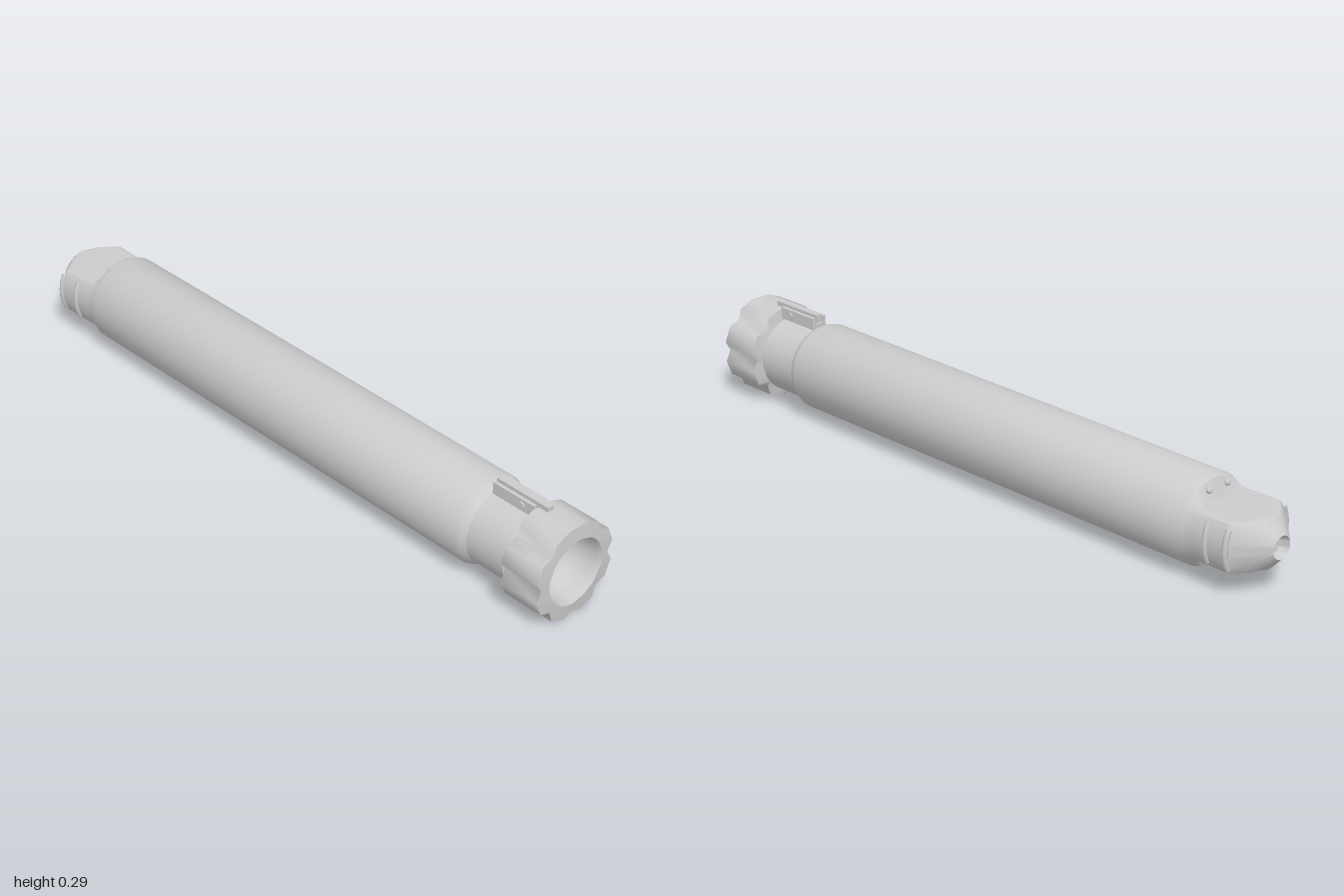
import * as THREE from 'three';
import { toCreasedNormals } from 'three/addons/utils/BufferGeometryUtils.js';

const AXIS_Y = 0.137;
const mat = new THREE.MeshStandardMaterial({ color: 0xcccccc });

function add(parent, name, geo, x = 0, y = 0, z = 0) {
  const m = new THREE.Mesh(geo, mat);
  m.name = name;
  m.position.set(x, y, z);
  parent.add(m);
  return m;
}

// Turned part along z from [radius, z] pairs
function turned(profile, segments) {
  const g = new THREE.LatheGeometry(profile.map(([r, z]) => new THREE.Vector2(r, z)), segments);
  return g.rotateX(Math.PI / 2);
}

// Barrel with a conical tail that is flattened above and below
function barrelGeometry() {
  const g = turned([
    [0, -0.97], [0.024, -0.975], [0.032, -1], [0.07, -0.964], [0.086, -0.948],
    [0.102, -0.931], [0.12, -0.912], [0.118, -0.8], [0.12, -0.777], [0.127, -0.76],
    [0.127, 0.7], [0.122, 0.715], [0.112, 0.73], [0.112, 0.855], [0.105, 0.86], [0.105, 0.89],
  ], 64);
  const p = g.attributes.position;
  for (let i = 0; i < p.count; i++) {
    if (p.getZ(i) < -0.79) p.setY(i, THREE.MathUtils.clamp(p.getY(i), -0.07, 0.07));
  }
  return toCreasedNormals(g, 0.5);
}

// Scalloped grip ring: eight notches, the top one filled under the clip
function headGeometry() {
  const outline = [];
  for (let k = 0; k < 8; k++) {
    const a = k * Math.PI / 4, half = 0.217;
    outline.push([a - half, 0.1403], [a, k === 2 ? 0.137 : 0.121], [a + half, 0.1403]);
  }
  const rings = [[0.104, 0.866], [null, 0.873], [null, 0.996], [0.097, 1]];
  const n = outline.length, pos = [], idx = [];
  for (const [radius, z] of rings) {
    for (const [a, r] of outline) {
      const d = radius ?? r;
      pos.push(d * Math.cos(a), d * Math.sin(a), z);
    }
  }
  for (let i = 0; i < rings.length - 1; i++) {
    for (let j = 0; j < n; j++) {
      const a = i * n + j, b = i * n + (j + 1) % n;
      idx.push(a, b, b + n, a, b + n, a + n);
    }
  }
  const g = new THREE.BufferGeometry();
  g.setAttribute('position', new THREE.Float32BufferAttribute(pos, 3));
  g.setIndex(idx);
  return toCreasedNormals(g, 1.2);
}

// Hollow reflector bowl behind a small bore lip
function bowlGeometry() {
  const profile = [[0.099, 0.999], [0.094, 0.985]];
  for (let i = 0; i <= 10; i++) {
    const t = i / 10 * Math.PI / 2;
    profile.push([0.093 * Math.cos(t), 0.98 - 0.1 * Math.sin(t)]);
  }
  return toCreasedNormals(turned(profile, 16), 0.5);
}

export function createModel() {
  const group = new THREE.Group();
  const body = new THREE.Group();
  body.name = 'body';
  body.position.y = AXIS_Y;
  group.add(body);

  add(body, 'barrel', barrelGeometry());
  add(body, 'head', headGeometry());
  add(body, 'reflector', bowlGeometry());

  for (const s of [-1, 1]) {
    // Curved grip ridges on the tail sides
    for (const z of [-0.85, -0.915]) {
      const arc = 0.95;
      const ridge = add(body, 'tailRidge', new THREE.TorusGeometry(0.118, 0.008, 8, 14, arc), 0, 0, z);
      ridge.rotation.z = (s > 0 ? 0 : Math.PI) - arc / 2;
    }
    // Rivets above and below the tail shoulder
    for (const v of [-1, 1]) {
      add(body, 'rivet', new THREE.SphereGeometry(0.009, 12, 8), s * 0.035, v * 0.099, -0.789);
    }
  }

  // Sliding switch on top of the neck
  const clip = new THREE.Group();
  clip.name = 'switch';
  group.add(clip);
  add(clip, 'switchBase', new THREE.BoxGeometry(0.036, 0.02, 0.14), 0, 0.252, 0.8);
  for (const s of [-1, 1]) {
    add(clip, 'switchRail', new THREE.BoxGeometry(0.01, 0.036, 0.14), s * 0.019, 0.263, 0.8);
  }
  add(clip, 'switchBar', new THREE.BoxGeometry(0.02, 0.024, 0.175), 0, 0.276, 0.817);
  const pin = add(clip, 'switchPin', new THREE.CylinderGeometry(0.01, 0.01, 0.058, 14), 0, 0.264, 0.83);
  pin.rotation.z = Math.PI / 2;

  return group;
}
